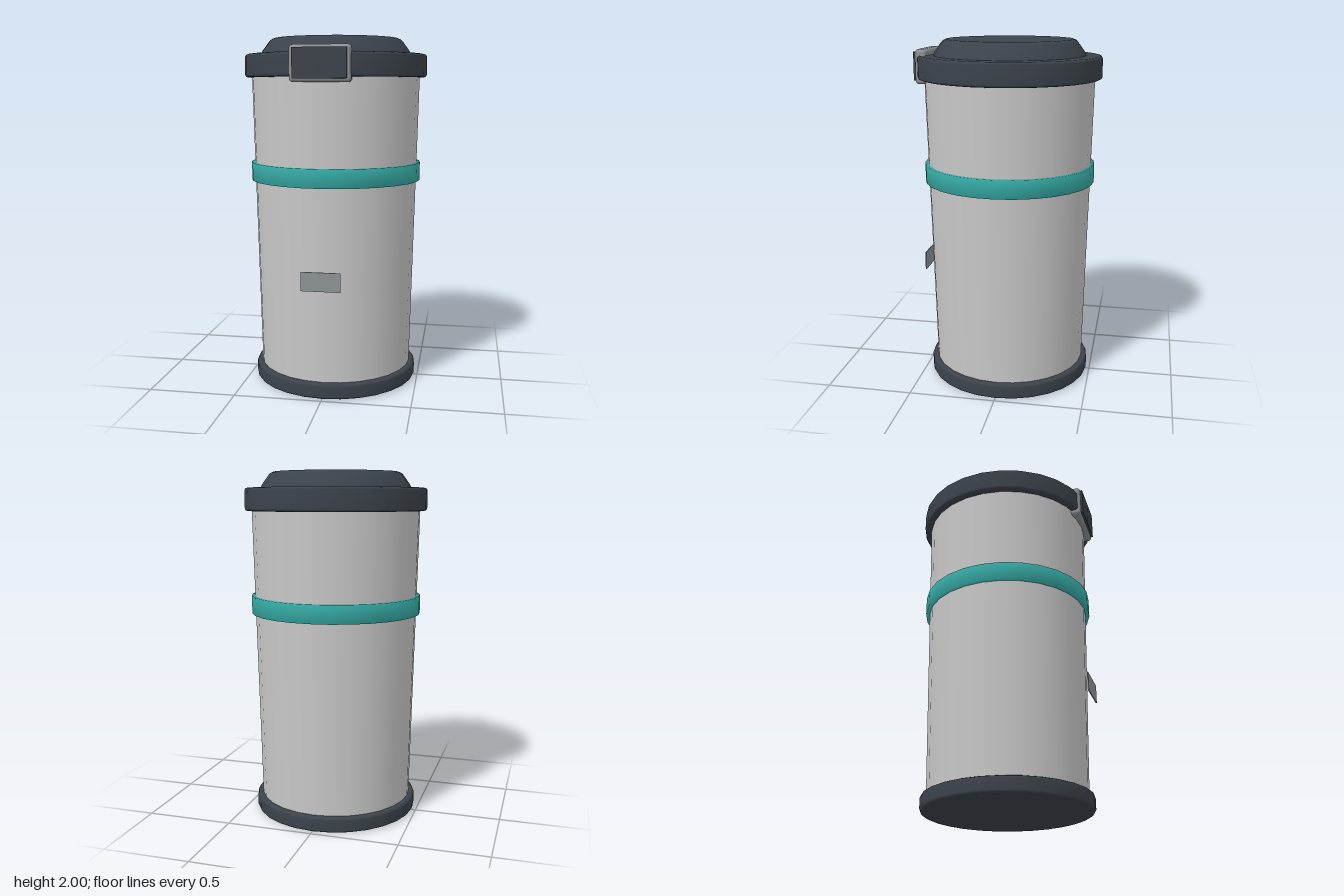
import * as THREE from 'three';
import { RoundedBoxGeometry } from 'three/addons/geometries/RoundedBoxGeometry.js';

const SIDES = 28;

const makeMaterial = (name, color) => {
  const material = new THREE.MeshStandardMaterial({ color });
  material.name = name;
  return material;
};

export function createModel() {
  const group = new THREE.Group();
  group.name = 'travelCup';
  const steel = makeMaterial('brushedSteel', 0xc8c8c8);
  const charcoal = makeMaterial('charcoalPlastic', 0x3c434b);
  const teal = makeMaterial('tealRubber', 0x35a8a3);
  const trim = makeMaterial('greyTrim', 0x8d9296);

  const add = (name, geometry, material, x = 0, y = 0, z = 0) => {
    const mesh = new THREE.Mesh(geometry, material);
    mesh.name = name;
    mesh.position.set(x, y, z);
    group.add(mesh);
    return mesh;
  };

  // Turned part from [radius, height] pairs, listed bottom to top
  const turned = (name, profile, material) =>
    add(name, new THREE.LatheGeometry(profile.map(([r, y]) => new THREE.Vector2(r, y)), SIDES), material);

  // Foot ring with a flat underside
  turned('base', [[0, 0], [0.465, 0], [0.475, 0.005], [0.48, 0.015],
    [0.48, 0.075], [0.475, 0.085], [0.465, 0.09], [0.42, 0.09]], charcoal);

  // Tapered body
  turned('body', [[0.447, 0.08], [0.487, 1.8]], steel);

  // Grip band around the body
  turned('gripBand', [[0.46, 1.19], [0.495, 1.19], [0.495, 1.295], [0.46, 1.295]], teal);

  // Lid rim and raised cap
  turned('lidRim', [[0.45, 1.78], [0.51, 1.78], [0.521, 1.784], [0.526, 1.795],
    [0.526, 1.895], [0.521, 1.906], [0.51, 1.91], [0.4, 1.91]], charcoal);
  turned('lidCap', [[0.435, 1.905], [0.425, 1.93], [0.387, 1.982], [0.376, 1.993],
    [0.36, 2], [0, 2]], charcoal);

  // Front latch: rounded frame with a dark inset button
  add('latchFrame', new RoundedBoxGeometry(0.33, 0.195, 0.068, 3, 0.02), trim, 0, 1.848, 0.479);
  add('latchButton', new THREE.BoxGeometry(0.29, 0.16, 0.03), charcoal, 0, 1.85, 0.51);

  // Small plain badge plate on the front
  add('badge', new THREE.BoxGeometry(0.22, 0.107, 0.006), trim, 0, 0.68, 0.498);

  return group;
}
